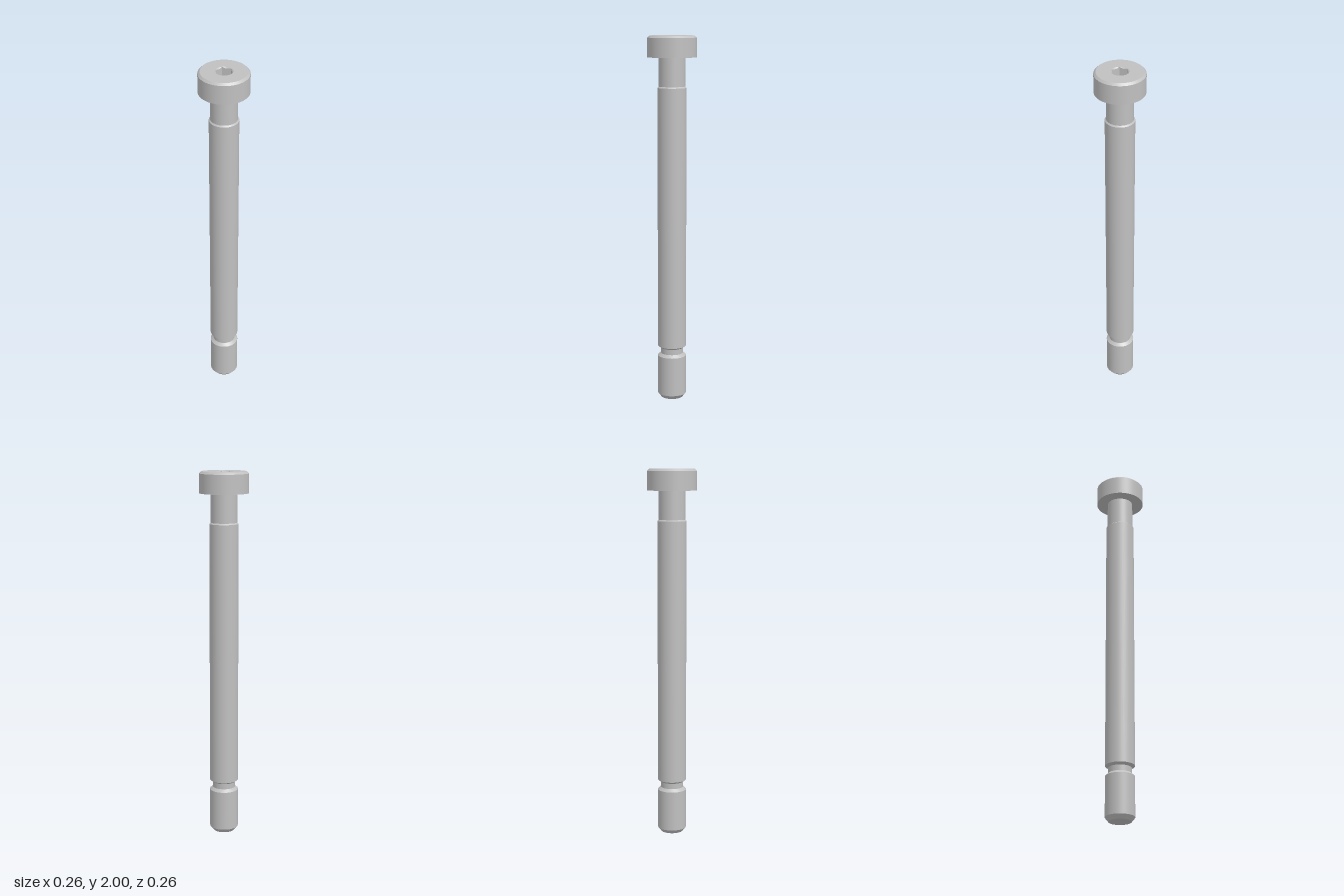
import * as THREE from 'three';
import { mergeGeometries } from 'three/addons/utils/BufferGeometryUtils.js';

const SEGMENTS = 72;

// Turned part: each profile step is its own lathe, so rims stay sharp
// while the round walls stay smooth. Profile is [radius, height], outside on the right.
function turned(profile) {
  const bands = [];
  for (let i = 0; i < profile.length - 1; i++) {
    const pair = [profile[i], profile[i + 1]].map(([r, y]) => new THREE.Vector2(r, y));
    bands.push(new THREE.LatheGeometry(pair, SEGMENTS));
  }
  return mergeGeometries(bands);
}

// Hexagonal socket: conical lead-in, six flat walls and a floor
function hexSocket(radius, top, depth) {
  const apothem = radius * Math.cos(Math.PI / 6);
  const ring = (rule) => Array.from({ length: SEGMENTS + 1 }, (_, i) => {
    const a = (i / SEGMENTS) * Math.PI * 2;
    const off = (a % (Math.PI / 3)) - Math.PI / 6;
    const hex = Math.min(radius, apothem / Math.cos(off));
    const [r, y] = rule(hex);
    return new THREE.Vector3(Math.sin(a) * r, y, Math.cos(a) * r);
  });
  const rim = ring(() => [radius, top]);
  const edge = ring((hex) => [hex, top - (radius - hex)]);
  const base = ring((hex) => [hex, top - depth]);
  const centre = new THREE.Vector3(0, top - depth, 0);

  const points = [];
  for (let i = 0; i < SEGMENTS; i++) {
    for (const [up, low] of [[rim, edge], [edge, base]]) {
      points.push(low[i], up[i], up[i + 1], low[i], up[i + 1], low[i + 1]);
    }
    points.push(centre, base[i], base[i + 1]);
  }
  const geometry = new THREE.BufferGeometry().setFromPoints(points);
  geometry.computeVertexNormals();
  return geometry;
}

export function createModel() {
  const steel = new THREE.MeshStandardMaterial({ color: 0xc0c0c0 });
  steel.name = 'steel';

  const model = new THREE.Group();
  model.name = 'shoulderScrew';
  const add = (name, geometry) => {
    const mesh = new THREE.Mesh(geometry, steel);
    mesh.name = name;
    model.add(mesh);
  };

  // Chamfered end below the groove
  add('tip', turned([[0, 0], [0.06, 0], [0.078, 0.022], [0.078, 0.24], [0.062, 0.255]]));
  // Narrow relief groove
  add('groove', turned([[0.062, 0.255], [0.062, 0.285]]));
  // Long shaft with chamfered shoulders
  add('shaft', turned([[0.062, 0.285], [0.078, 0.296], [0.078, 1.724], [0.071, 1.731]]));
  // Slimmer neck under the head
  add('neck', turned([[0.071, 1.731], [0.071, 1.886]]));
  // Cylindrical head with a bevelled top rim
  add('head', turned([[0.071, 1.886], [0.132, 1.886], [0.132, 1.989], [0.121, 2], [0.046, 2]]));
  // Key socket sunk in the head
  add('socket', hexSocket(0.046, 2, 0.055));

  return model;
}
